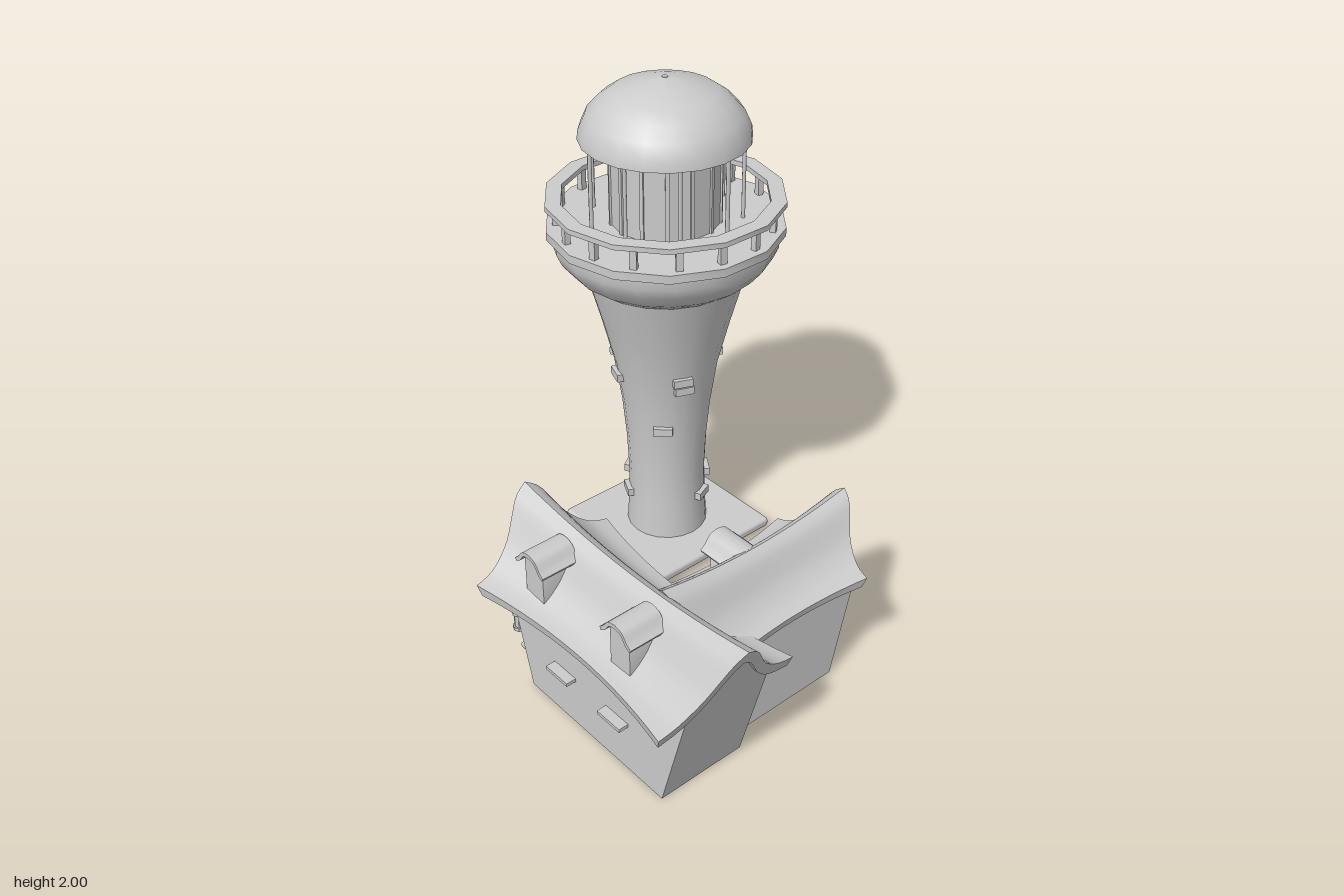
import * as THREE from 'three';
import { toCreasedNormals } from 'three/addons/utils/BufferGeometryUtils.js';
import { RoundedBoxGeometry } from 'three/addons/geometries/RoundedBoxGeometry.js';

const material = new THREE.MeshStandardMaterial({ color: 0xcccccc, side: THREE.DoubleSide });

function add(parent, name, geometry, x = 0, y = 0, z = 0, rotY = 0) {
  const mesh = new THREE.Mesh(geometry, material);
  mesh.name = name;
  mesh.position.set(x, y, z);
  mesh.rotation.y = rotY;
  parent.add(mesh);
  return mesh;
}

const vecs = (pts) => pts.map(([x, y]) => new THREE.Vector2(x, y));
const box = (w, h, d) => new THREE.BoxGeometry(w, h, d);

// Lathe with a vertex on the x axis and crisp edges
function lathe(pts, sides, crease = 0.75) {
  return toCreasedNormals(new THREE.LatheGeometry(vecs(pts), sides, Math.PI / 2), crease);
}

// Mirrored outline, from a right half listed ridge to foot, swept over z = -1..1
function sweep(half, steps, rule) {
  const left = half.map((p) => new THREE.Vector2(-p.x, p.y)).reverse();
  const shape = new THREE.Shape([...half, ...left].filter((p, i, a) =>
    i === 0 || p.distanceTo(a[i - 1]) > 1e-5));
  const geo = new THREE.ExtrudeGeometry(shape, { depth: 2, steps, bevelEnabled: false });
  geo.translate(0, 0, -1);
  const pos = geo.attributes.position, v = new THREE.Vector3();
  for (let i = 0; i < pos.count; i++) {
    v.fromBufferAttribute(pos, i);
    rule(v);
    pos.setXYZ(i, v.x, v.y, v.z);
  }
  return toCreasedNormals(geo, 0.75);
}

// Closed roof section: bell curve on top, parallel curve underneath
function roofSection(outer, inner) {
  const top = new THREE.SplineCurve(vecs(outer)).getPoints(14);
  const under = new THREE.SplineCurve(vecs(inner)).getPoints(14).reverse();
  const mirror = (list) => list.map((p) => new THREE.Vector2(-p.x, p.y)).reverse();
  return { top, under, mirror };
}

function sweepRoof(outer, inner, steps, rule) {
  const { top, under, mirror } = roofSection(outer, inner);
  const loop = [...top, ...under, ...mirror(under).slice(1), ...mirror(top).slice(0, -1)];
  const geo = new THREE.ExtrudeGeometry(new THREE.Shape(loop), { depth: 2, steps, bevelEnabled: false });
  geo.translate(0, 0, -1);
  const pos = geo.attributes.position, v = new THREE.Vector3();
  for (let i = 0; i < pos.count; i++) {
    v.fromBufferAttribute(pos, i);
    rule(v);
    pos.setXYZ(i, v.x, v.y, v.z);
  }
  return toCreasedNormals(geo, 0.75);
}

const OUTER = [[0, 0.715], [0.05, 0.68], [0.09, 0.615], [0.13, 0.55], [0.18, 0.5], [0.23, 0.468], [0.29, 0.452]];
const INNER = [[0, 0.655], [0.035, 0.63], [0.07, 0.575], [0.11, 0.51], [0.16, 0.455], [0.21, 0.425], [0.28, 0.408]];

// Sagging roof, narrower in the middle, with the ridge reaching past the eaves
function houseRoof({ width, ridge, sag, waist, eaveHalf, ridgeHalf }) {
  return sweepRoof(OUTER, INNER, 14, (v) => {
    const t = v.z, f = Math.max(0, (v.y - 0.41) / 0.305);
    v.x *= (width / 0.29) * (waist + (1 - waist) * t * t);
    v.y = f > 0 ? 0.41 + f * (ridge - 0.41 - sag * (1 - t * t)) : v.y;
    v.z = t * (eaveHalf + (ridgeHalf - eaveHalf) * Math.min(1, f));
  });
}

// Gabled walls whose ends lean outward
function houseWalls(width, peak, base, half, lean) {
  const outline = [[0, peak], [width * 0.25, peak - 0.02], [width * 0.6, peak - 0.12],
    [width, 0.44], [width, base]];
  return sweep(vecs(outline), 1, (v) => { v.z *= half + lean * v.y; });
}

// Small roof window facing local +z, origin at the front under the eaves
function dormer(parent, x, y, z, rotY) {
  const g = new THREE.Group();
  g.name = 'dormer';
  g.position.set(x, y, z);
  g.rotation.y = rotY;
  parent.add(g);
  const depth = (v) => { v.z = (v.z - 1) * 0.08; };
  add(g, 'dormerRoof', sweepRoof(
    [[0, 0.07], [0.035, 0.06], [0.06, 0.03], [0.08, 0.012]],
    [[0, 0.054], [0.03, 0.045], [0.052, 0.015], [0.074, 0]], 1, depth));
  add(g, 'dormerBody', sweep(vecs([[0, 0.058], [0.03, 0.048], [0.05, 0.018], [0.05, -0.14]]), 1,
    (v) => { v.z = -0.02 + (v.z - 1) * 0.06; }));
}

function buildHouse() {
  const house = new THREE.Group();
  house.name = 'house';
  const turn = Math.PI / 2;
  // Main block, ridge along z
  add(house, 'mainWalls', houseWalls(0.18, 0.635, 0, 0.365, 0.27), -0.47, 0, 0.3);
  add(house, 'mainRoof', houseRoof({ width: 0.295, ridge: 0.715, sag: 0.052, waist: 0.81,
    eaveHalf: 0.483, ridgeHalf: 0.59 }), -0.475, 0, 0.295);
  // Side wing, ridge along x
  add(house, 'wingWalls', houseWalls(0.168, 0.59, 0.01, 0.29, 0.25), -0.08, 0, 0.445, turn);
  add(house, 'wingRoof', houseRoof({ width: 0.23, ridge: 0.668, sag: 0.042, waist: 0.86,
    eaveHalf: 0.315, ridgeHalf: 0.435 }), -0.02, 0, 0.442, turn);
  // Roof windows
  dormer(house, -0.68, 0.597, 0, -turn);
  dormer(house, -0.68, 0.597, 0.47, -turn);
  dormer(house, -0.05, 0.55, 0.27, Math.PI);
  // Window sills
  for (const z of [0.14, 0.43]) add(house, 'windowSill', box(0.06, 0.014, 0.12), -0.66, 0.21, z);
  add(house, 'windowSill', box(0.05, 0.014, 0.125), 0.25, 0.21, 0.46);
  add(house, 'windowSill', box(0.15, 0.014, 0.05), 0.02, 0.21, 0.27);
  // Back doorstep
  add(house, 'doorstep', new RoundedBoxGeometry(0.22, 0.02, 0.16, 1, 0.006), -0.49, 0.065, -0.13);
  // Hanging lantern beside the door
  const lamp = new THREE.Group();
  lamp.name = 'lantern';
  lamp.position.set(-0.62, 0, -0.175);
  house.add(lamp);
  add(lamp, 'lanternBody', lathe([[0, 0.185], [0.026, 0.185], [0.026, 0.2], [0.02, 0.2], [0.02, 0.26],
    [0.028, 0.26], [0.012, 0.28], [0, 0.285]], 8, 0.4));
  add(lamp, 'lanternHook', new THREE.TubeGeometry(new THREE.CatmullRomCurve3([
    [0, 0.28, 0], [0, 0.305, 0.004], [0, 0.315, 0.025], [0, 0.295, 0.05], [0, 0.27, 0.06],
  ].map((p) => new THREE.Vector3(...p))), 12, 0.004, 5));
  return house;
}

function buildTower() {
  const tower = new THREE.Group();
  tower.name = 'lighthouse';
  tower.position.set(0.32, 0, -0.44);
  const radii = [[0.165, 0.05], [0.162, 0.1], [0.155, 0.22], [0.153, 0.34], [0.16, 0.5], [0.175, 0.67],
    [0.203, 0.86], [0.25, 1.05], [0.302, 1.24]];
  add(tower, 'basePlate', new RoundedBoxGeometry(0.6, 0.04, 0.6, 2, 0.014), 0, 0.065, 0);
  add(tower, 'shaft', lathe(radii, 20));
  add(tower, 'galleryBowl', lathe([[0, 1.24], [0.305, 1.24], [0.36, 1.28], [0.405, 1.335], [0.425, 1.38],
    [0.425, 1.425]], 20));
  add(tower, 'galleryDeck', lathe([[0.38, 1.42], [0.447, 1.42], [0.447, 1.453], [0, 1.453]], 14));
  add(tower, 'galleryRail', lathe([[0.388, 1.535], [0.447, 1.535], [0.447, 1.555], [0.388, 1.555],
    [0.388, 1.535]], 14));
  // Railing posts and lantern-room columns
  const ring = (name, count, start, r, y, geo) => {
    for (let i = 0; i < count; i++) {
      const a = start + (i / count) * Math.PI * 2;
      add(tower, name, geo, r * Math.cos(a), y, r * Math.sin(a), -a);
    }
  };
  ring('railPost', 16, Math.PI / 16, 0.405, 1.494, box(0.022, 0.085, 0.026));
  ring('roofColumn', 9, 0, 0.285, 1.62, new THREE.CylinderGeometry(0.008, 0.008, 0.34, 6));
  add(tower, 'lanternRoom', lathe([[0.205, 1.45], [0.205, 1.79]], 14, 0.3));
  ring('windowBar', 14, 0, 0.204, 1.62, box(0.014, 0.34, 0.014));
  add(tower, 'dome', lathe([[0, 1.775], [0.315, 1.775], [0.311, 1.81], [0.285, 1.867], [0.24, 1.915],
    [0.19, 1.95], [0.1, 1.977], [0.014, 1.998], [0, 1.998]], 20));
  add(tower, 'domeFinial', new THREE.CylinderGeometry(0.012, 0.012, 0.01, 8), 0, 1.995, 0);
  // Bricks standing out of the shaft: angle from +x towards +z, height
  const bricks = [[23, 0.86], [113, 0.86], [111, 0.82], [239, 0.86], [200, 0.82], [313, 0.62], [135, 0.62],
    [33, 0.31], [68, 0.25], [238, 0.31], [206, 0.25], [280, 0.31]];
  const brick = box(0.035, 0.032, 0.075);
  for (const [deg, y] of bricks) {
    const k = radii.findIndex((p) => p[1] >= y), [r0, y0] = radii[k - 1], [r1, y1] = radii[k];
    const r = r0 + ((r1 - r0) * (y - y0)) / (y1 - y0), a = THREE.MathUtils.degToRad(deg);
    add(tower, 'brick', brick, r * Math.cos(a), y, r * Math.sin(a), -a);
  }
  return tower;
}

export function createModel() {
  const model = new THREE.Group();
  model.name = 'lighthouseAndCottage';
  model.add(buildHouse(), buildTower());
  return model;
}
